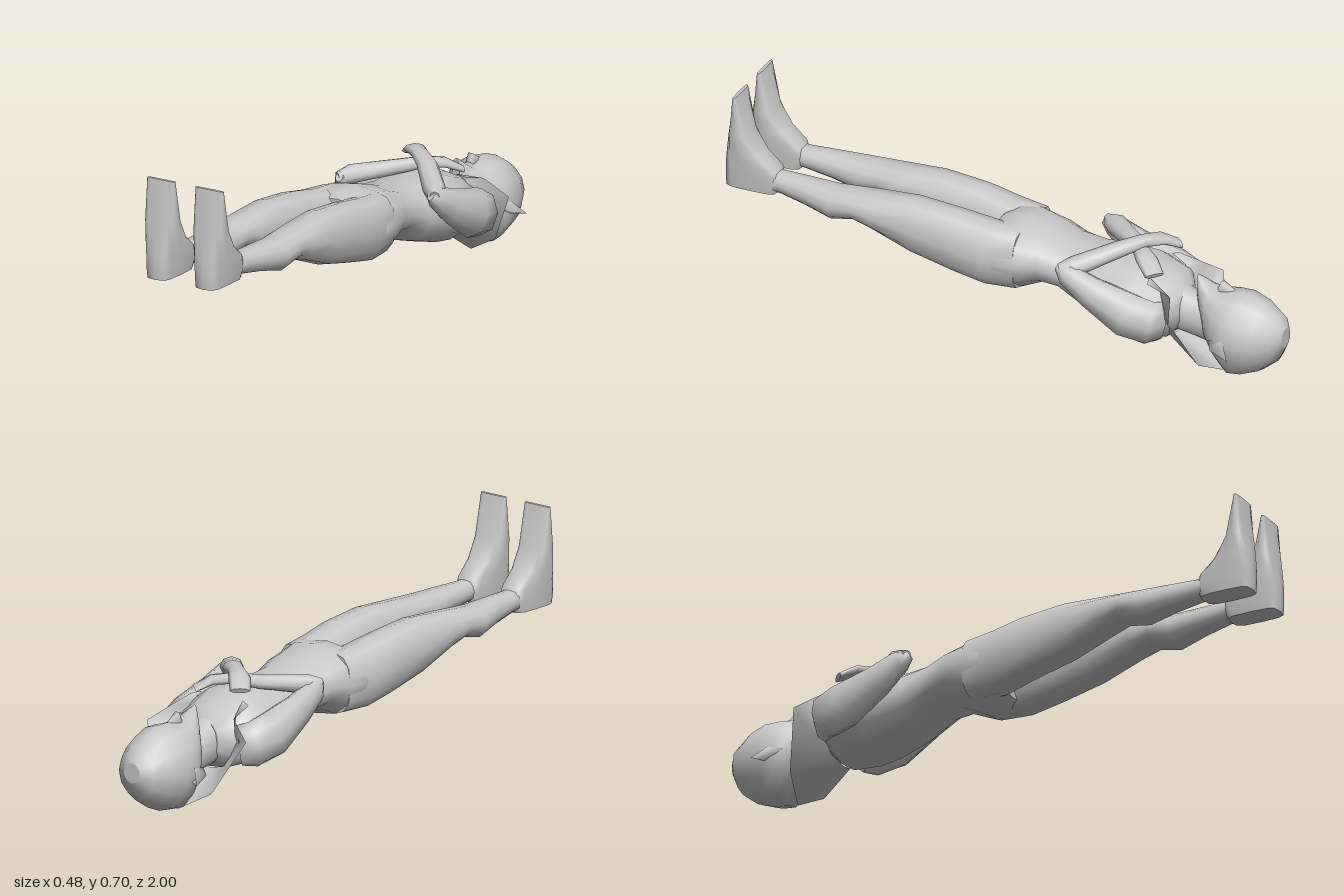
import * as THREE from 'three';

const V = (x, y, z) => new THREE.Vector3(x, y, z);

// Skin through cross-sections {c: centre, w, h: half sizes}, with smooth sides and sharp flat ends.
// dir fixes the ring direction (otherwise it follows the path); power < 1 gives boxier rings.
function loft(rings, { sides = 12, dir = null, up = V(0, 1, 0), power = 0.85 } = {}) {
  const pos = [], idx = [], n = rings.length;
  const round = (v) => Math.sign(v) * Math.pow(Math.abs(v), power);
  rings.forEach((r, i) => {
    const t = dir || rings[Math.min(i + 1, n - 1)].c.clone().sub(rings[Math.max(i - 1, 0)].c).normalize();
    const s = up.clone().cross(t).normalize();
    const u = t.clone().cross(s);
    for (let j = 0; j < sides; j++) {
      const a = (j / sides) * Math.PI * 2;
      const p = r.c.clone().addScaledVector(s, round(Math.cos(a)) * r.w).addScaledVector(u, round(Math.sin(a)) * r.h);
      pos.push(p.x, p.y, p.z);
    }
  });
  for (let i = 0; i < n - 1; i++) {
    for (let j = 0; j < sides; j++) {
      const a = i * sides + j, b = i * sides + (j + 1) % sides;
      idx.push(a, b, a + sides, b, b + sides, a + sides);
    }
  }
  // End caps with their own vertices
  for (const i of [0, n - 1]) {
    const base = pos.length / 3;
    for (let k = 0; k < sides * 3; k++) pos.push(pos[i * sides * 3 + k]);
    pos.push(...rings[i].c.toArray());
    for (let j = 0; j < sides; j++) {
      const a = base + j, b = base + (j + 1) % sides;
      idx.push(...(i ? [a, b, base + sides] : [b, a, base + sides]));
    }
  }
  return geometry(pos, idx);
}

function geometry(pos, idx) {
  const g = new THREE.BufferGeometry();
  g.setAttribute('position', new THREE.Float32BufferAttribute(pos, 3));
  g.setIndex(idx);
  g.computeVertexNormals();
  return g;
}

// Rows of [z, x, yMin, yMax, halfWidth] become rings facing +z
const body = (rows, opt = {}) => loft(
  rows.map(([z, x, lo, hi, w]) => ({ c: V(x, (lo + hi) / 2, z), w, h: (hi - lo) / 2 })),
  { dir: V(0, 0, 1), ...opt });

// Rows of [x, y, z, w, h] become a limb along its path
const limb = (rows) => loft(rows.map(([x, y, z, w, h]) => ({ c: V(x, y, z), w, h })), { sides: 8, power: 1 });

export function createModel() {
  const group = new THREE.Group();
  const grey = new THREE.MeshStandardMaterial({ color: 0xc8c8c8, side: THREE.DoubleSide });
  grey.name = 'plain grey';
  const add = (name, geo) => {
    const mesh = new THREE.Mesh(geo, grey);
    mesh.name = name;
    group.add(mesh);
  };

  // Torso, lying face up
  add('torso', body([
    [-0.64, 0, 0.16, 0.28, 0.07], [-0.6, 0, 0.115, 0.325, 0.145], [-0.5, 0, 0.112, 0.36, 0.17],
    [-0.42, 0, 0.125, 0.365, 0.165], [-0.31, 0, 0.16, 0.365, 0.143], [-0.22, 0, 0.215, 0.375, 0.135],
    [-0.15, 0, 0.225, 0.4, 0.15], [-0.065, 0, 0.185, 0.425, 0.165], [0, 0, 0.195, 0.42, 0.176],
    [0.04, 0, 0.22, 0.4, 0.15],
  ]));
  add('neck', body([[-0.78, 0, 0.1, 0.25, 0.065], [-0.68, 0, 0.12, 0.26, 0.058], [-0.58, 0, 0.14, 0.32, 0.075]]));

  // Head from crown to chin
  add('head', body([
    [-1, 0, 0.14, 0.21, 0.035], [-0.975, 0, 0.085, 0.25, 0.078], [-0.92, 0, 0.04, 0.29, 0.11],
    [-0.86, 0, 0.016, 0.312, 0.126], [-0.81, 0, 0.01, 0.312, 0.126], [-0.77, 0, 0.05, 0.308, 0.108],
    [-0.73, 0, 0.1, 0.315, 0.075], [-0.7, 0, 0.17, 0.335, 0.042], [-0.68, 0, 0.25, 0.345, 0.014],
  ], { power: 1 }));
  add('nose', body([
    [-0.82, 0, 0.29, 0.31, 0.006], [-0.768, 0, 0.28, 0.342, 0.018], [-0.755, 0, 0.28, 0.315, 0.014],
  ], { sides: 6, power: 1 }));

  for (const s of [1, -1]) {
    const side = s > 0 ? 'left' : 'right';

    // Pointed ear
    add(side + 'Ear', geometry([
      s * 0.112, 0.165, -0.765, s * 0.118, 0.182, -0.82, s * 0.163, 0.13, -0.86,
      s * 0.147, 0.15, -0.79, s * 0.118, 0.13, -0.83,
    ], [0, 1, 3, 1, 2, 3, 0, 3, 4, 3, 2, 4]));

    // Leg
    add(side + 'Leg', body([
      [-0.07, 0.085, 0.2, 0.41, 0.075], [0.04, 0.09, 0.2, 0.42, 0.09], [0.15, 0.1, 0.225, 0.44, 0.084],
      [0.31, 0.102, 0.264, 0.455, 0.08], [0.45, 0.104, 0.32, 0.445, 0.076], [0.52, 0.107, 0.343, 0.44, 0.071],
      [0.6, 0.11, 0.326, 0.437, 0.067], [0.7, 0.104, 0.35, 0.439, 0.053], [0.8, 0.098, 0.367, 0.44, 0.041],
      [0.9, 0.098, 0.37, 0.45, 0.042],
    ].map(([z, x, ...rest]) => [z, s * x, ...rest])));

    // Foot, toes pointing up: rows of [y, zMin, zMax, halfWidth]
    add(side + 'Foot', loft([
      [0.365, 0.81, 0.998, 0.045], [0.4, 0.795, 1, 0.049], [0.445, 0.81, 0.998, 0.052],
      [0.49, 0.865, 0.992, 0.055], [0.56, 0.913, 0.982, 0.058], [0.705, 0.95, 0.962, 0.056],
    ].map(([y, a, b, w]) => ({ c: V(s * 0.096, y, (a + b) / 2), w, h: (b - a) / 2 })),
    { dir: V(0, 1, 0), up: V(0, 0, 1), power: 0.5 }));

    // Upper arm, from shoulder to elbow
    add(side + 'UpperArm', limb([
      [s * 0.13, 0.21, -0.6, 0.035, 0.07], [s * 0.165, 0.215, -0.575, 0.06, 0.08],
      [s * 0.178, 0.235, -0.5, 0.064, 0.085], [s * 0.185, 0.295, -0.37, 0.046, 0.06],
      [s * 0.188, 0.345, -0.285, 0.034, 0.042], [s * 0.182, 0.365, -0.25, 0.014, 0.018],
    ]));

    // Forearm and hand crossing the chest; the left one lies on top
    const lift = s > 0 ? 0.015 : -0.012;
    add(side + 'Forearm', limb([
      [s * 0.192, 0.355, -0.258, 0.018, 0.025], [s * 0.165, 0.365, -0.3, 0.04, 0.034],
      [s * 0.06, 0.39 + lift, -0.415, 0.036, 0.025], [s * -0.01, 0.402 + lift, -0.475, 0.03, 0.02],
      [s * -0.06, 0.398 + lift, -0.52, 0.038, 0.016], [s * -0.1, 0.37 + lift, -0.565, 0.034, 0.01],
    ]));
  }

  // Standing collar: base and rim points of one half, mirrored to the other
  const base = [[0, 0.11, -0.6], [0.07, 0.13, -0.61], [0.11, 0.22, -0.6], [0.1, 0.31, -0.585], [0.09, 0.345, -0.54]];
  const rim = [[0, 0.002, -0.77], [0.12, 0.068, -0.735], [0.217, 0.25, -0.67], [0.137, 0.31, -0.64], [0.125, 0.335, -0.55]];
  const pos = [], idx = [];
  for (let k = -4; k <= 4; k++) {
    for (const [x, y, z] of [base[Math.abs(k)], rim[Math.abs(k)]]) pos.push(Math.sign(k) * x, y, z);
    const a = (k + 4) * 2;
    if (k < 4) idx.push(a, a + 2, a + 1, a + 2, a + 3, a + 1);
  }
  add('collar', geometry(pos, idx));

  return group;
}
